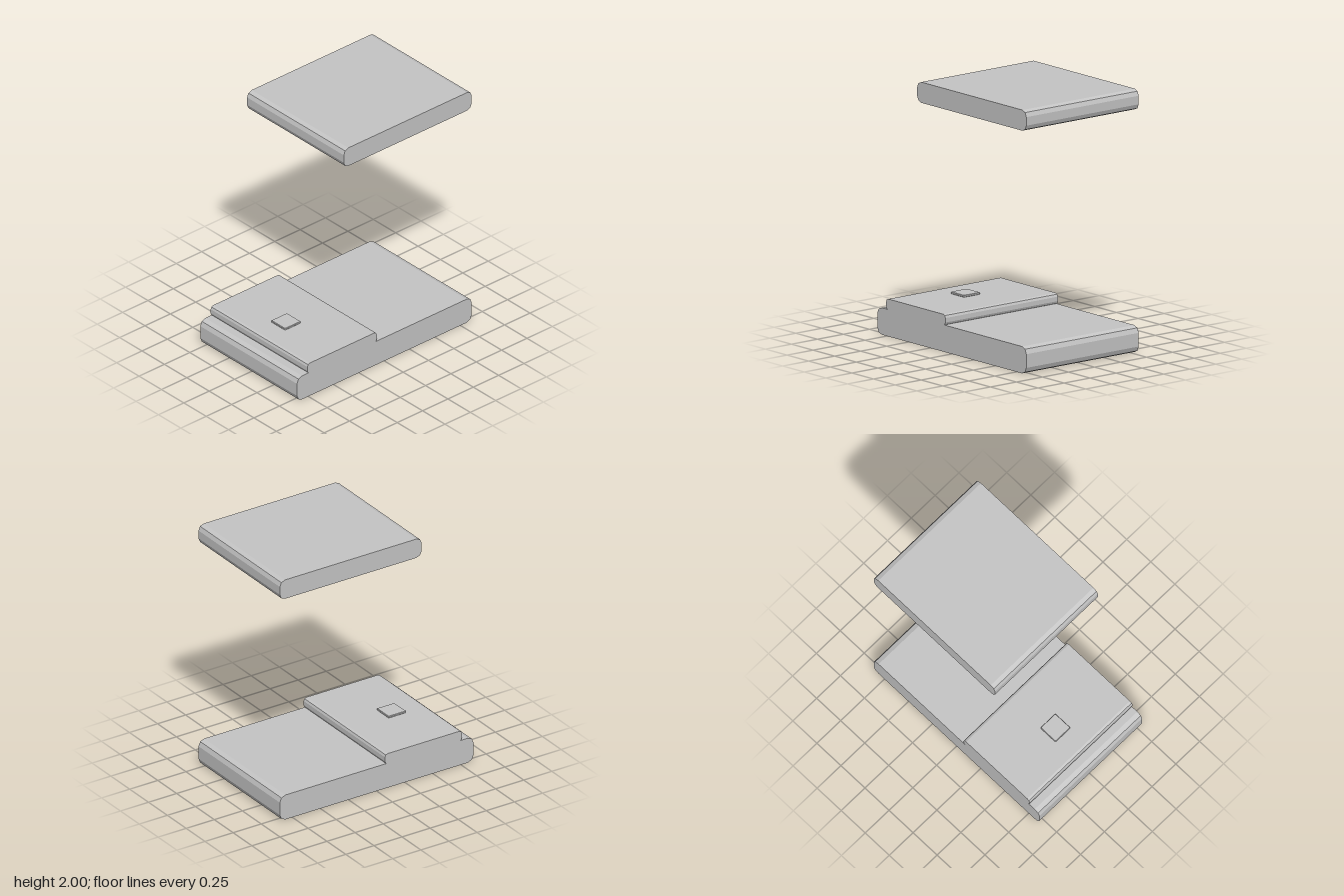
import * as THREE from 'three';

const grey = new THREE.MeshStandardMaterial({ color: 0xc4c4c4 });
grey.name = 'light grey';

// Rectangle outline with faceted rounded corners
function roundedOutline(a0, a1, b0, b1, r, segments = 2) {
  const corners = [[a1 - r, b0 + r, -1], [a1 - r, b1 - r, 0], [a0 + r, b1 - r, 1], [a0 + r, b0 + r, 2]];
  const points = [];
  for (const [a, b, quarter] of corners) {
    for (let i = 0; i <= segments; i++) {
      const t = (quarter + i / segments) * Math.PI / 2;
      points.push(new THREE.Vector2(a + r * Math.cos(t), b + r * Math.sin(t)));
    }
  }
  return new THREE.Shape(points);
}

// Slab whose rounded z-y section runs straight across the width
function slab(name, width, z0, z1, y0, y1, r) {
  const geometry = new THREE.ExtrudeGeometry(roundedOutline(-z1, -z0, y0, y1, r), { depth: width, bevelEnabled: false });
  geometry.translate(0, 0, -width / 2).rotateY(Math.PI / 2);
  const mesh = new THREE.Mesh(geometry, grey);
  mesh.name = name;
  return mesh;
}

// Small pad with softened corners and rims
function button() {
  const bevel = 0.003;
  const outline = roundedOutline(-0.075, 0.075, -0.075, 0.075, 0.005);
  const geometry = new THREE.ExtrudeGeometry(outline, {
    depth: 0.01, bevelThickness: bevel, bevelSize: bevel, bevelSegments: 1,
  });
  geometry.rotateX(-Math.PI / 2).translate(0, 0.287, 0.493);
  const mesh = new THREE.Mesh(geometry, grey);
  mesh.name = 'button';
  return mesh;
}

export function createModel() {
  const group = new THREE.Group();
  group.name = 'base with raised canopy';
  group.add(
    slab('base', 1.08, -0.861, 0.861, 0, 0.204, 0.05),
    slab('platform', 1.08, 0.074, 0.759, 0.2, 0.284, 0.025),
    slab('canopy', 1.08, -0.861, 0.4, 1.843, 2, 0.046),
    button(),
  );
  return group;
}
